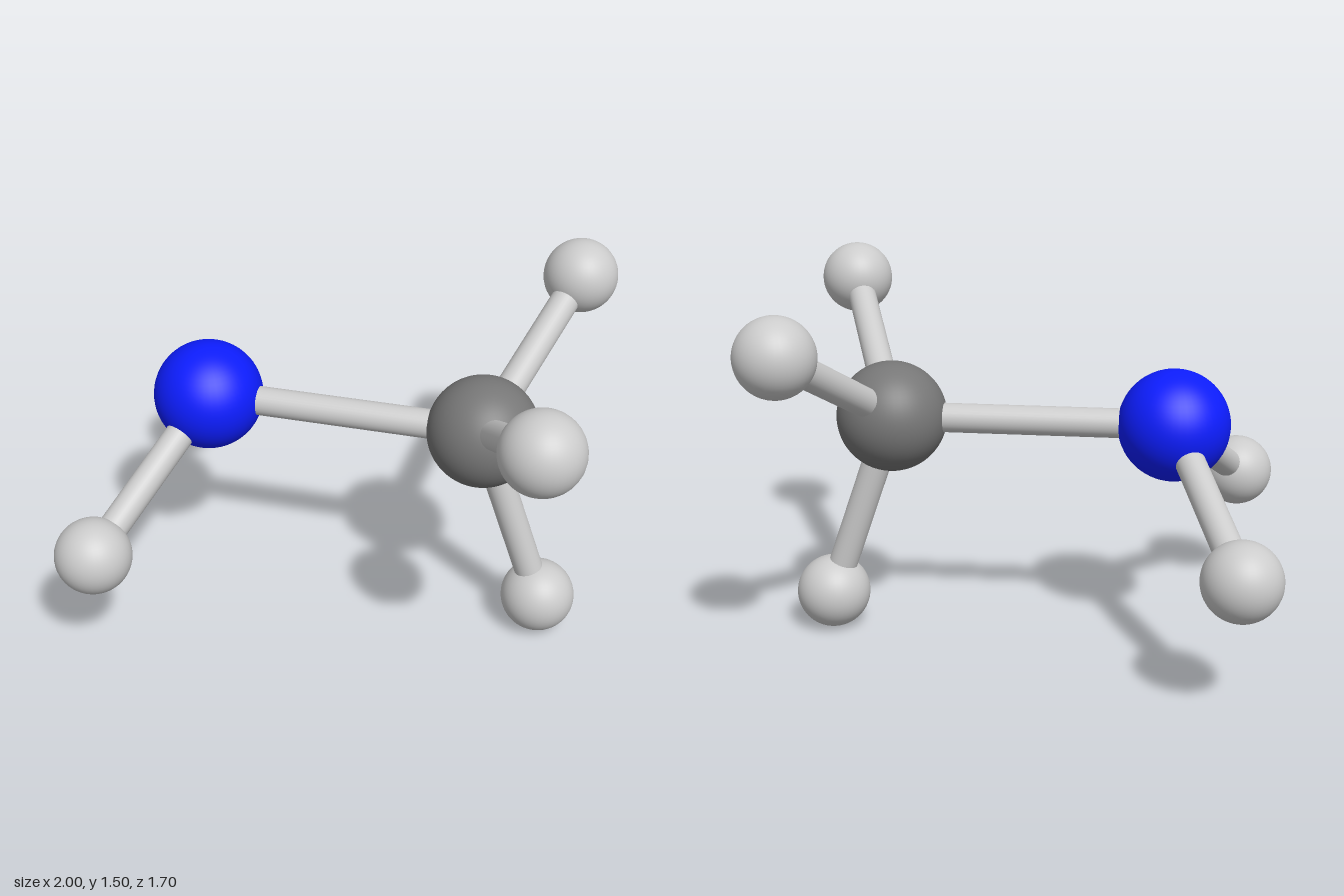
import * as THREE from 'three';

export function createModel() {
  const model = new THREE.Group();
  const grey = new THREE.MeshStandardMaterial({ color: 0xcccccc });
  const darkGrey = new THREE.MeshStandardMaterial({ color: 0x777777 });
  const blue = new THREE.MeshStandardMaterial({ color: 0x0d1dff });

  const largeBall = new THREE.SphereGeometry(0.222, 48, 32);
  const smallBall = new THREE.SphereGeometry(0.151, 40, 28);
  const up = new THREE.Vector3(0, 1, 0);

  function addBall(name, geometry, material, position) {
    const ball = new THREE.Mesh(geometry, material);
    ball.name = name;
    ball.position.copy(position);
    model.add(ball);
  }

  // Round rod joining two ball centres
  function addRod(name, from, to) {
    const span = to.clone().sub(from);
    const rod = new THREE.Mesh(new THREE.CylinderGeometry(0.059, 0.059, span.length(), 32), grey);
    rod.name = name;
    rod.position.copy(from).addScaledVector(span, 0.5);
    rod.quaternion.setFromUnitVectors(up, span.normalize());
    model.add(rod);
  }

  // Two central atoms and the bond between them
  const nitrogen = new THREE.Vector3(-0.583, 0.92, -0.035);
  const carbon = new THREE.Vector3(0.545, 0.92, -0.035);
  addBall('nitrogenAtom', largeBall, blue, nitrogen);
  addBall('carbonAtom', largeBall, darkGrey, carbon);
  addRod('centralBond', nitrogen, carbon);

  // Hydrogen atoms, each with its bond
  const hydrogens = [
    [nitrogen, -0.852, 0.538, 0.628],
    [nitrogen, -0.852, 0.538, -0.698],
    [carbon, 0.845, 1.348, 0.698],
    [carbon, 0.814, 1.305, -0.698],
    [carbon, 0.814, 0.153, -0.035],
  ];
  hydrogens.forEach(([centre, x, y, z], i) => {
    const position = new THREE.Vector3(x, y, z);
    addBall(`hydrogenAtom${i + 1}`, smallBall, grey, position);
    addRod(`hydrogenBond${i + 1}`, centre, position);
  });

  return model;
}
